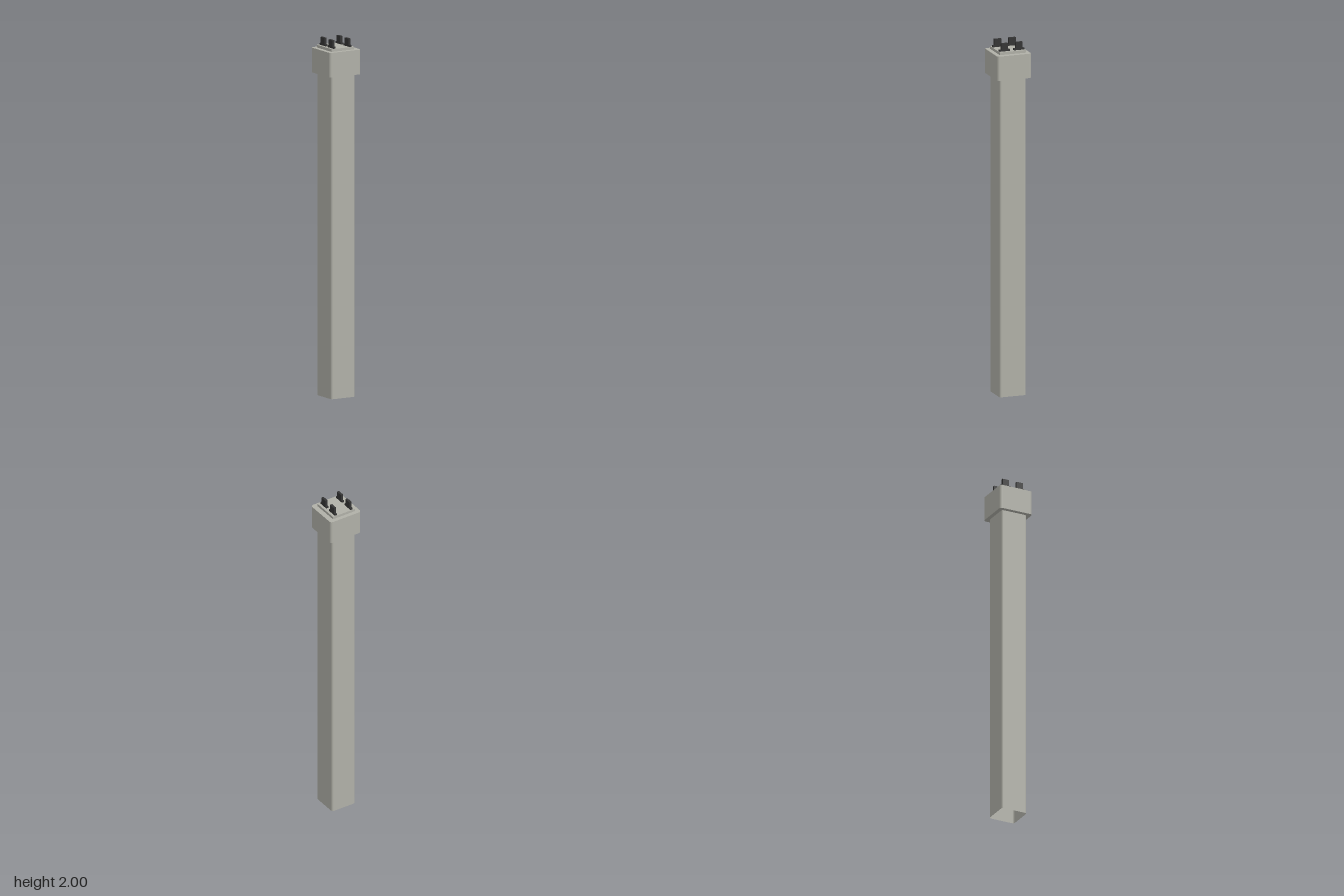
import * as THREE from 'three';

const shell = new THREE.MeshStandardMaterial({ color: 0xb0b0a7, side: THREE.DoubleSide });
shell.name = 'warm grey';
const dark = new THREE.MeshStandardMaterial({ color: 0x343434 });
dark.name = 'dark grey';

function add(parent, name, geometry, material, x, y, z) {
  const mesh = new THREE.Mesh(geometry, material);
  mesh.name = name;
  mesh.position.set(x, y, z);
  parent.add(mesh);
  return mesh;
}

// Open square tube with smooth rounded corners: an open cylinder whose ring is pushed out to four corners
function squareTube(halfX, halfZ, radius, height) {
  const steps = 6, ring = 4 * (steps + 1);
  const geometry = new THREE.CylinderGeometry(1, 1, height, ring, 1, true);
  const { position, normal } = geometry.attributes;
  for (let k = 0; k < position.count; k++) {
    const i = (k % (ring + 1)) % ring;
    const corner = Math.floor(i / (steps + 1));
    const angle = (corner + (i % (steps + 1)) / steps) * Math.PI / 2;
    const mid = (corner + 0.5) * Math.PI / 2;
    const sx = Math.sign(Math.sin(mid)), sz = Math.sign(Math.cos(mid));
    const nx = Math.sin(angle), nz = Math.cos(angle);
    position.setX(k, sx * (halfX - radius) + nx * radius);
    position.setZ(k, sz * (halfZ - radius) + nz * radius);
    normal.setXYZ(k, nx, 0, nz);
  }
  return geometry;
}

// Solid block with rounded vertical corners, standing on y = 0
function roundedBlock(half, radius, height) {
  const s = new THREE.Shape(), c = half - radius;
  [[c, c], [-c, c], [-c, -c], [c, -c]].forEach(([x, y], i) =>
    s.absarc(x, y, radius, i * Math.PI / 2, (i + 1) * Math.PI / 2, false));
  const geometry = new THREE.ExtrudeGeometry(s, { depth: height, bevelEnabled: false, curveSegments: 5 });
  return geometry.rotateX(-Math.PI / 2);
}

export function createModel() {
  const model = new THREE.Group();
  model.name = 'post';

  // Hollow shaft, open at the bottom
  add(model, 'shaft', squareTube(0.076, 0.077, 0.012, 1.805), shell, 0, 0.9025, 0);

  // Collar and the thin plate on top of it
  add(model, 'collar', roundedBlock(0.1, 0.015, 0.138), shell, 0, 1.802, 0);
  add(model, 'topPlate', new THREE.BoxGeometry(0.146, 0.02, 0.153), shell, -0.002, 1.945, -0.001);

  // Four stepped contact blades: wide foot, narrower tab
  for (const x of [-0.053, 0.049]) {
    for (const z of [-0.044, 0.041]) {
      const blade = new THREE.Group();
      blade.name = 'contactBlade';
      blade.position.set(x, 1.952, z);
      add(blade, 'bladeFoot', new THREE.BoxGeometry(0.014, 0.013, 0.06), dark, 0, 0.0065, 0);
      add(blade, 'bladeTab', new THREE.BoxGeometry(0.014, 0.035, 0.04), dark, 0, 0.0305, 0);
      model.add(blade);
    }
  }
  return model;
}
